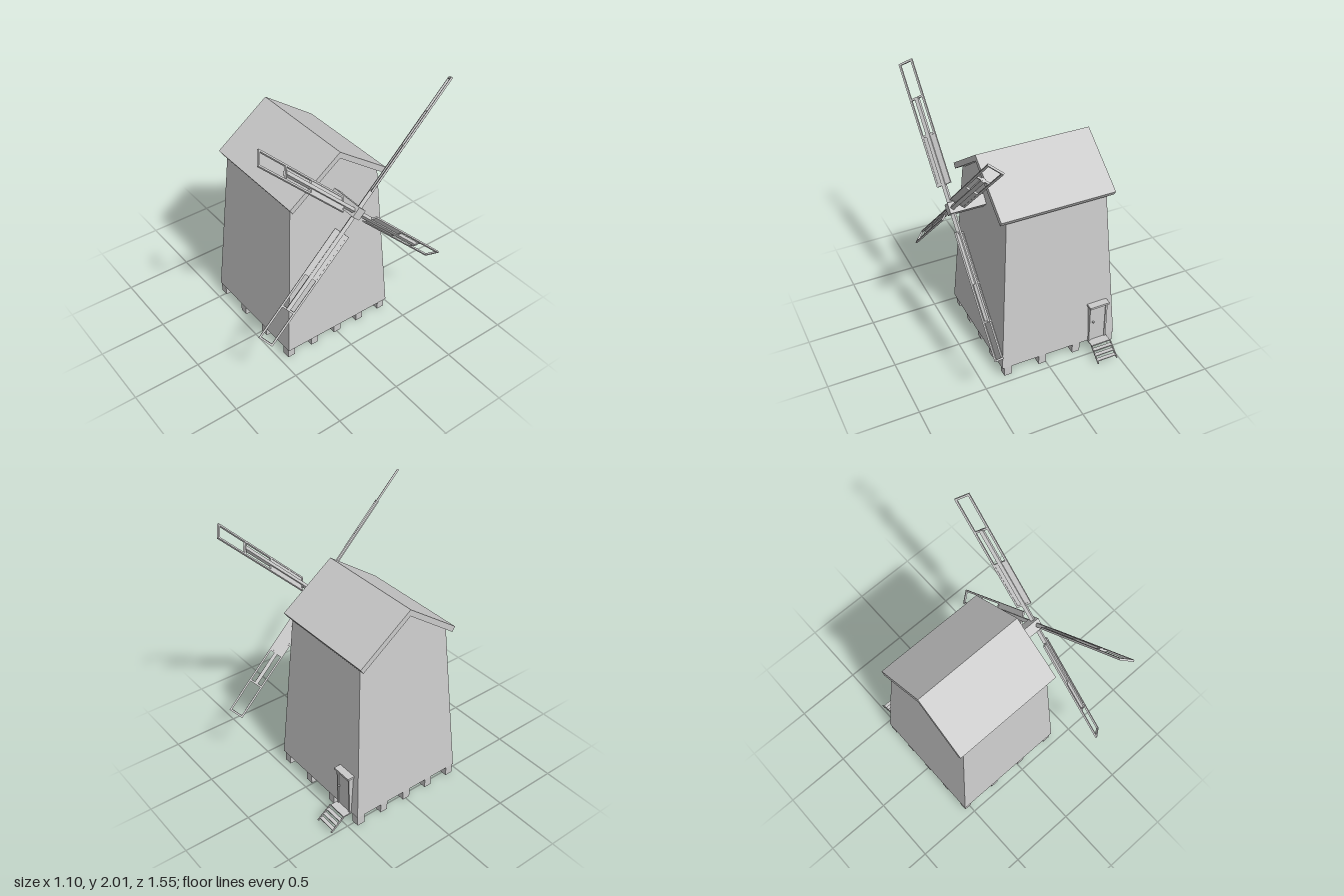
import * as THREE from 'three';

const grey = new THREE.MeshStandardMaterial({ color: 0xcccccc, flatShading: true });
const greyThin = new THREE.MeshStandardMaterial({ color: 0xcccccc, flatShading: true, side: THREE.DoubleSide });

function add(parent, name, geometry, x = 0, y = 0, z = 0, material = grey) {
  const mesh = new THREE.Mesh(geometry, material);
  mesh.name = name;
  mesh.position.set(x, y, z);
  parent.add(mesh);
  return mesh;
}
const box = (w, h, d) => new THREE.BoxGeometry(w, h, d);

// Tapered walls with a gable at each end, open underneath
function wallGeometry() {
  const ring = (x0, x1, z, y) => [x1, y, z, x1, y, -z, x0, y, -z, x0, y, z];
  const points = [
    ...ring(-0.55, 0.35, 0.45, 0.08),
    ...ring(-0.47, 0.27, 0.365, 1.28),
    0.25, 1.555, 0, -0.45, 1.555, 0,
  ];
  const index = [4, 5, 8, 6, 7, 9];
  for (let i = 0; i < 4; i++) {
    const j = (i + 1) % 4;
    index.push(i, j, j + 4, i, j + 4, i + 4);
  }
  const g = new THREE.BufferGeometry();
  g.setAttribute('position', new THREE.Float32BufferAttribute(points, 3));
  g.setIndex(index);
  const flat = g.toNonIndexed();
  flat.computeVertexNormals();
  return flat;
}

// Folded roof slab running along x
function roofGeometry() {
  const s = new THREE.Shape([
    [0, 1.6], [-0.4, 1.31], [-0.378, 1.275], [0, 1.552], [0.378, 1.275], [0.4, 1.31],
  ].map(([x, y]) => new THREE.Vector2(x, y)));
  return new THREE.ExtrudeGeometry(s, { depth: 0.84, bevelEnabled: false })
    .rotateY(Math.PI / 2).translate(-0.52, 0, 0);
}

// One pitched lattice sail pointing along +y
function makeSail() {
  const sail = new THREE.Group();
  sail.name = 'sail';
  const r0 = 0.165, r1 = 1.05, half = 0.048, t = 0.013;
  add(sail, 'sailSpar', box(0.026, 0.79, 0.026), 0, 0.395, 0);
  for (const s of [-1, 1]) {
    add(sail, 'sailRail', box(t, r1 - r0, t), s * half, (r0 + r1) / 2, 0);
  }
  for (const r of [r0 + t / 2, 0.52, 0.785, r1 - t / 2]) {
    add(sail, 'sailCrossbar', box(half * 2, t, t), 0, r, 0);
  }
  add(sail, 'sailBoard', box(half * 2 + 0.004, 0.345, 0.008), 0, 0.345, 0);
  return sail;
}

export function createModel() {
  const mill = new THREE.Group();
  mill.name = 'windmill';

  add(mill, 'walls', wallGeometry(), 0, 0, 0, greyThin);
  add(mill, 'roof', roofGeometry());

  // Short hollow posts around the edge of the base
  const postGeometry = new THREE.CylinderGeometry(0.042, 0.042, 0.08, 4, 1, true).rotateY(Math.PI / 4);
  for (let i = 0; i < 4; i++) {
    for (let j = 0; j < 5; j++) {
      if (i % 3 && j % 4) continue;
      add(mill, 'post', postGeometry, -0.515 + i * 0.273, 0.04, -0.415 + j * 0.2075, greyThin);
    }
  }

  // Square axle standing on its edge
  const axle = add(mill, 'axle', box(0.37, 0.076, 0.076), 0.345, 1.23, 0);
  axle.rotation.x = Math.PI / 4;

  // Four sails turned about the axle
  for (let k = 0; k < 4; k++) {
    const arm = new THREE.Group();
    arm.name = 'sailArm';
    arm.position.set(0.502, 1.23, 0);
    arm.rotation.x = Math.PI / 4 + k * Math.PI / 2;
    const sail = makeSail();
    sail.rotation.y = -Math.PI / 4;
    arm.add(sail);
    mill.add(arm);
  }

  // Back door with frame, canopy and knob
  const door = new THREE.Group();
  door.name = 'door';
  door.position.x = -0.407;
  add(door, 'doorPanel', box(0.12, 0.31, 0.04), 0, 0.235, -0.438);
  for (const s of [-1, 1]) {
    add(door, 'doorJamb', box(0.014, 0.315, 0.05), s * 0.063, 0.238, -0.44);
  }
  add(door, 'doorCanopy', box(0.155, 0.016, 0.06), 0, 0.402, -0.45);
  add(door, 'doorKnob', new THREE.SphereGeometry(0.009, 8, 6), 0.043, 0.26, -0.468);
  mill.add(door);

  // Landing and steps down from the door
  const steps = new THREE.Group();
  steps.name = 'steps';
  steps.position.x = -0.407;
  add(steps, 'landing', box(0.15, 0.01, 0.085), 0, 0.08, -0.478);
  for (const s of [-1, 1]) {
    const rail = add(steps, 'stepRail', box(0.007, 0.014, 0.14), s * 0.076, 0.042, -0.575);
    rail.rotation.x = -0.65;
  }
  for (let i = 0; i < 3; i++) {
    add(steps, 'step', box(0.15, 0.007, 0.028), 0, 0.064 - i * 0.024, -0.545 - i * 0.03);
  }
  mill.add(steps);

  return mill;
}
